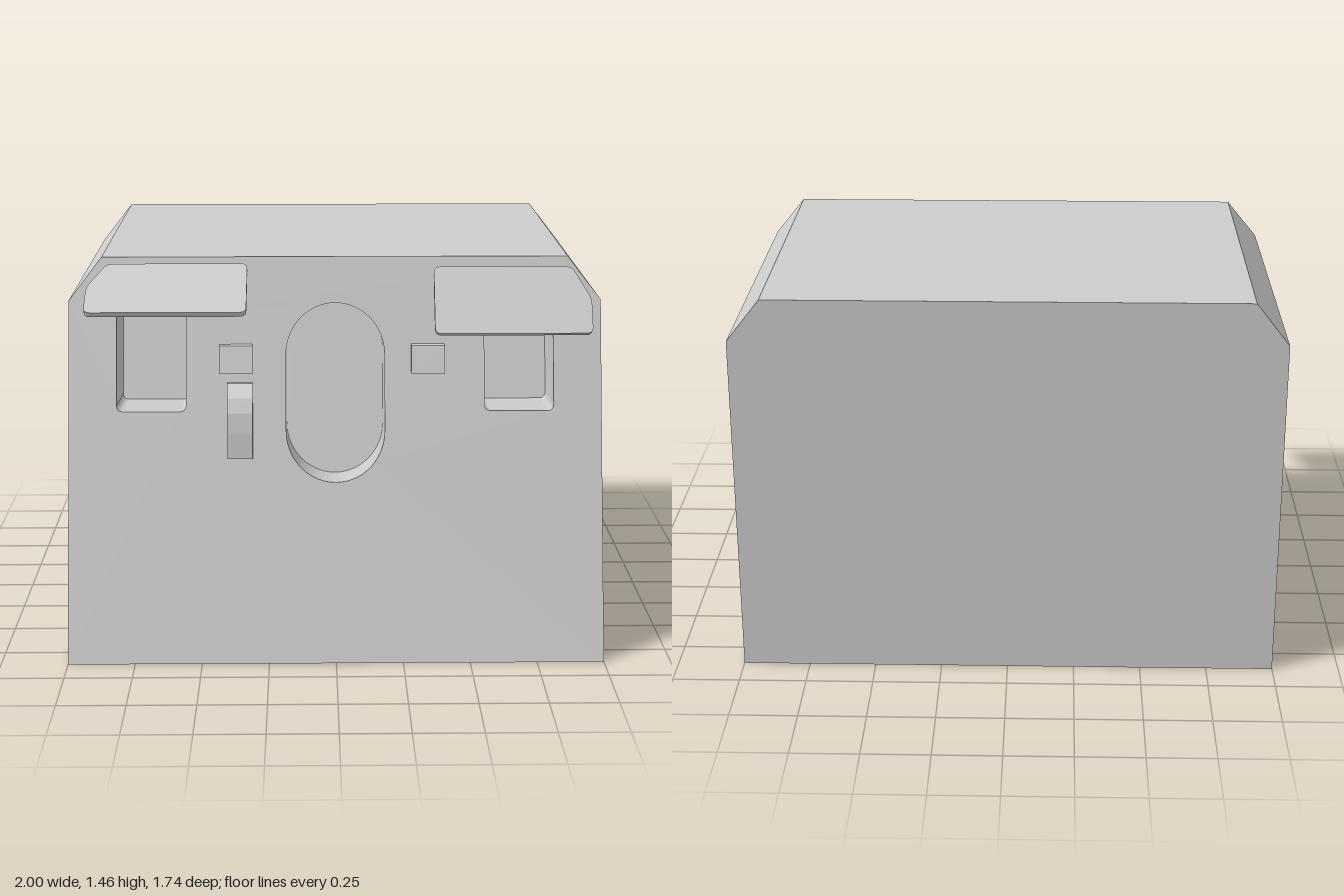
import * as THREE from 'three';
import { toCreasedNormals } from 'three/addons/utils/BufferGeometryUtils.js';

const BACK = -0.87;
const frontZ = (y) => 0.87 - 0.305 * y; // sloping front plane
const onFront = (x, y) => [x, y, frontZ(y)];
const onBack = (x, y) => [x, y, BACK];

const material = new THREE.MeshStandardMaterial({ color: 0xcccccc });

function mesh(name, geometry) {
  const m = new THREE.Mesh(geometry, material);
  m.name = name;
  return m;
}

const polygon = (points) => new THREE.Shape(points.map(([x, y]) => new THREE.Vector2(x, y)));

// Counter-clockwise polygon with every corner rounded
function rounded(points, r) {
  const v = points.map(([x, y]) => new THREE.Vector2(x, y));
  const s = new THREE.Shape();
  v.forEach((p, i) => {
    const prev = v[(i + v.length - 1) % v.length], next = v[(i + 1) % v.length];
    const a = p.clone().add(prev.clone().sub(p).setLength(r));
    const b = p.clone().add(next.clone().sub(p).setLength(r));
    if (i) s.lineTo(a.x, a.y); else s.moveTo(a.x, a.y);
    s.quadraticCurveTo(p.x, p.y, b.x, b.y);
  });
  s.closePath();
  return s;
}

const rect = (x0, x1, y0, y1) => [[x0, y0], [x1, y0], [x1, y1], [x0, y1]];

// Flat shape laid onto a surface given as a rule (x, y) -> [x, y, z]
function sheet(shape, place) {
  const g = new THREE.ShapeGeometry(shape);
  const p = g.attributes.position;
  for (let i = 0; i < p.count; i++) p.setXYZ(i, ...place(p.getX(i), p.getY(i)));
  g.computeVertexNormals();
  return g;
}

// Strip of side walls joining an outline on two surfaces
function walls(shape, near, far, inward = false) {
  let pts = shape.extractPoints(12).shape;
  pts = pts.filter((p, i) => p.distanceTo(pts[(i + 1) % pts.length]) > 1e-4);
  if (THREE.ShapeUtils.isClockWise(pts) !== inward) pts.reverse();
  const out = [];
  pts.forEach((a, i) => {
    const b = pts[(i + 1) % pts.length];
    const aN = near(a.x, a.y), bN = near(b.x, b.y);
    const aF = far(a.x, a.y), bF = far(b.x, b.y);
    out.push(...aN, ...aF, ...bN, ...bN, ...aF, ...bF);
  });
  const g = new THREE.BufferGeometry();
  g.setAttribute('position', new THREE.Float32BufferAttribute(out, 3));
  g.computeVertexNormals();
  return toCreasedNormals(g, 0.5);
}

// Recess sunk into the sloping front
function pocket(name, shape, depth, drop) {
  const floor = (x, y) => [x, y - drop, frontZ(y) - depth];
  const g = new THREE.Group();
  g.name = name;
  g.add(mesh(name + 'Walls', walls(shape, onFront, floor, true)));
  g.add(mesh(name + 'Floor', sheet(shape, floor)));
  return g;
}

// Side profile of [z, y] points extruded across x, starting at x0
function prism(name, profile, x0, width) {
  const g = new THREE.ExtrudeGeometry(polygon(profile), { depth: width, bevelEnabled: false });
  g.rotateY(-Math.PI / 2).translate(x0 + width, 0, 0);
  return mesh(name, g);
}

// Hinged lid with a clipped outer corner; side is +1 or -1
function lid(name, side, x0, x1, y, tilt) {
  const L = 0.265;
  let pts = [[x0, -L], [x1, -L], [x1, -0.13], [x1 - 0.07, 0], [x0, 0]];
  if (side < 0) pts = pts.map(([x, py]) => [-x, py]).reverse();
  const g = new THREE.ExtrudeGeometry(rounded(pts, 0.025), { depth: 0.022, bevelEnabled: false, curveSegments: 5 });
  const m = mesh(name, toCreasedNormals(g, 0.6));
  m.position.set(0, y, 0.455);
  m.rotation.x = -tilt;
  return m;
}

export function createModel() {
  const model = new THREE.Group();
  model.name = 'housing';

  // Recess outlines
  const slot = new THREE.Shape();
  slot.absarc(0, 1.105, 0.185, 0, Math.PI);
  slot.absarc(0, 0.83, 0.185, Math.PI, Math.PI * 2);
  slot.closePath();
  const rightPocket = rounded(rect(-0.82, -0.56, 0.9, 1.275), 0.025);
  const leftPocket = rounded(rect(0.56, 0.82, 0.9, 1.275), 0.025);

  // Body shell with clipped upper corners
  const outline = [[-1, 0], [1, 0], [1, 1.3], [0.877, 1.457], [-0.877, 1.457], [-1, 1.3]];
  const front = polygon(outline);
  front.holes.push(slot, rightPocket, leftPocket);
  model.add(mesh('frontPanel', sheet(front, onFront)));
  model.add(mesh('bodySides', walls(polygon(outline), onFront, onBack)));
  const back = new THREE.ShapeGeometry(polygon(outline));
  model.add(mesh('backPanel', back.rotateY(Math.PI).translate(0, 0, BACK)));

  // Recesses
  model.add(pocket('centreSlot', slot, 0.2, 0.02));
  model.add(pocket('rightPocket', rightPocket, 0.27, 0.02));
  model.add(pocket('leftPocket', leftPocket, 0.27, 0.02));

  // Lids above the pockets, the right one swung further open
  model.add(lid('rightLid', -1, 0.328, 0.922, 1.42, 1.02));
  model.add(lid('leftLid', 1, 0.37, 0.957, 1.415, 0.55));

  // Small raised blocks
  const block = [[0.51, 1.04], [0.575, 1.04], [0.542, 1.14], [0.48, 1.146]];
  model.add(prism('rightBlock', block, -0.435, 0.125));
  model.add(prism('leftBlock', block, 0.285, 0.125));

  // Curved handle
  const handle = [[0.6, 0.735], [0.665, 0.735], [0.658, 0.83], [0.645, 0.905],
    [0.622, 0.957], [0.582, 1.005], [0.53, 1.005]];
  model.add(prism('handle', handle, -0.405, 0.095));

  return model;
}
